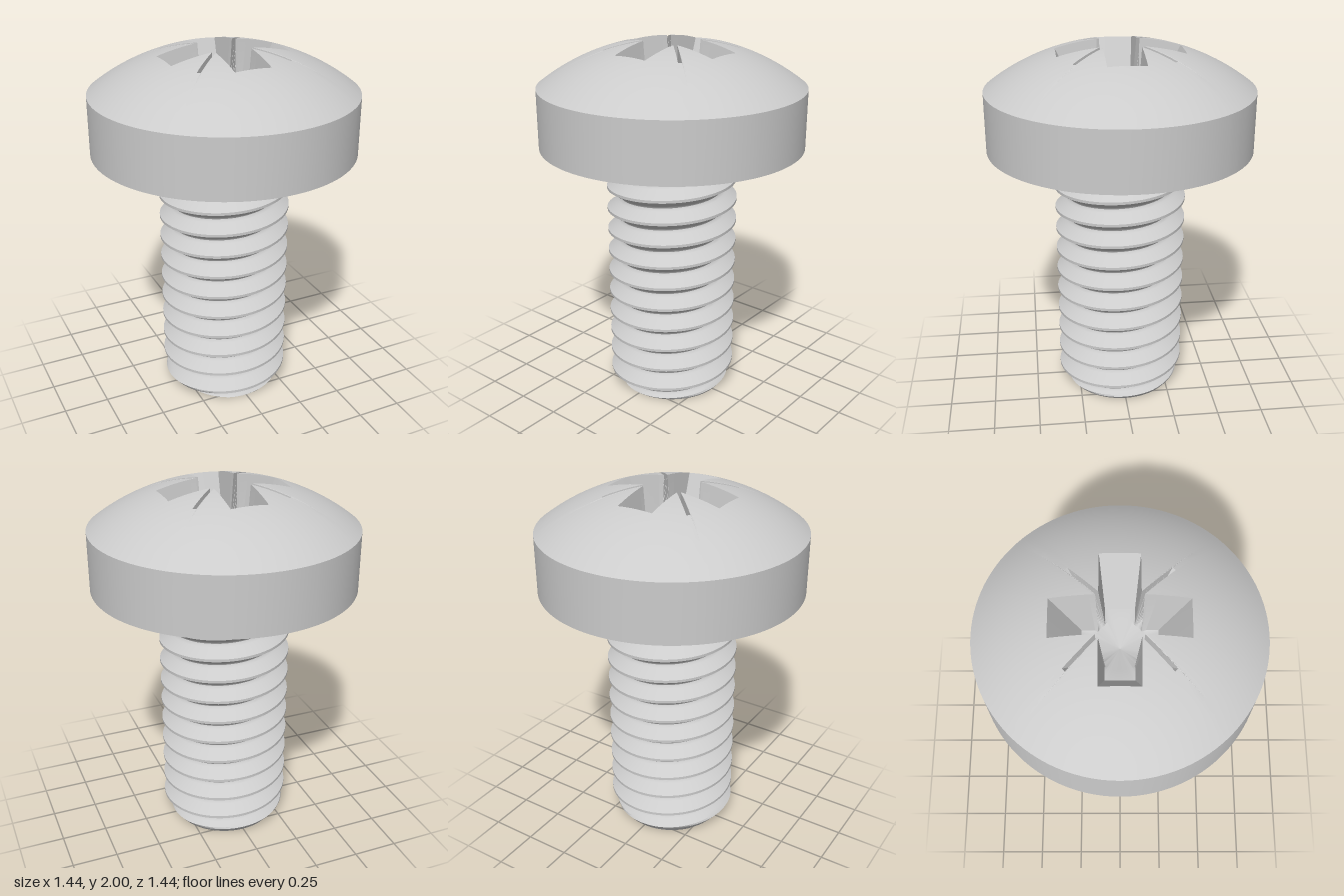
import * as THREE from 'three';
import { toCreasedNormals } from 'three/addons/utils/BufferGeometryUtils.js';

const grey = new THREE.MeshStandardMaterial({ color: 0xcccccc });
const { lerp, clamp, smoothstep } = THREE.MathUtils;

// Skin a stack of rings (equal point counts, last point closing on the first)
function loft(name, rings, crease = 0.55) {
  const pos = [];
  const tri = (a, b, c) => {
    const n = b.clone().sub(a).cross(c.clone().sub(a));
    if (n.length() > 1e-10) for (const p of [a, b, c]) pos.push(p.x, p.y, p.z);
  };
  for (let k = 0; k + 1 < rings.length; k++) {
    const a = rings[k], b = rings[k + 1];
    for (let i = 0; i + 1 < a.length; i++) {
      tri(a[i], b[i], a[i + 1]);
      tri(b[i], b[i + 1], a[i + 1]);
    }
  }
  const geo = new THREE.BufferGeometry();
  geo.setAttribute('position', new THREE.Float32BufferAttribute(pos, 3));
  const mesh = new THREE.Mesh(toCreasedNormals(geo, crease), grey);
  mesh.name = name;
  return mesh;
}

// Head
const HEAD_R = 0.718, HEAD_Y = 1.445, RIM_Y = 1.765, APEX = 2.01;
const SAG = APEX - RIM_Y, DOME_R = (HEAD_R ** 2 + SAG ** 2) / (2 * SAG);
const domeY = (r) => APEX - DOME_R + Math.sqrt(DOME_R ** 2 - r * r);

// Four-armed outline with diagonal slits: one quadrant turned four times
function outline(quadrant) {
  const steps = [10, 14, 5, 1, 5, 14];
  const corners = [];
  for (let q = 0; q < 4; q++) {
    for (const [x, z] of quadrant) {
      corners.push([[x, z], [-z, x], [-x, -z], [z, -x]][q]);
    }
  }
  const pts = [];
  corners.forEach((c, i) => {
    const d = corners[(i + 1) % corners.length], n = steps[i % 6];
    for (let s = 0; s < n; s++) pts.push([lerp(c[0], d[0], s / n), lerp(c[1], d[1], s / n)]);
  });
  pts.push(pts[0]);
  return pts;
}

function buildHead() {
  const FLOOR = 1.65, CORE_R = 0.13;
  const top = outline([[0.335, -0.1], [0.335, 0.1], [0.114, 0.1],
    [0.262, 0.248], [0.248, 0.262], [0.1, 0.114]]);
  const low = outline([[0.19, -0.075], [0.19, 0.075], [0.108, 0.075],
    [0.102, 0.094], [0.094, 0.102], [0.075, 0.108]]);
  const circle = (r, y) => top.map(([x, z]) => {
    const k = r / Math.hypot(x, z);
    return new THREE.Vector3(x * k, y, z * k);
  });

  // Flat underside, side wall and dome down to the recess edge
  const shell = [circle(0.3, HEAD_Y), circle(HEAD_R, HEAD_Y), circle(HEAD_R, RIM_Y)];
  const STEPS = 16;
  for (let s = 1; s <= STEPS; s++) {
    shell.push(top.map(([x, z]) => {
      const rho = Math.hypot(x, z), r = lerp(HEAD_R, rho, s / STEPS);
      return new THREE.Vector3(x * r / rho, domeY(r), z * r / rho);
    }));
  }

  // Tapered recess walls, arm floors and the conical centre
  const floor = low.map(([x, z]) => new THREE.Vector3(x, FLOOR, z));
  const core = low.map(([x, z]) => {
    const rho = Math.hypot(x, z), k = Math.min(1, CORE_R / rho);
    return new THREE.Vector3(x * k, FLOOR - 0.01, z * k);
  });
  const centre = low.map(() => new THREE.Vector3(0, FLOOR - 0.06, 0));

  const group = new THREE.Group();
  group.name = 'head';
  group.add(loft('domedHead', shell),
    loft('driveRecess', [shell[shell.length - 1], floor, core, centre]));
  return group;
}

// Threaded shank
const PITCH = 0.1257, CREST_R = 0.36, ROOT_R = 0.285, PHASE = 0.12;

// Thread radius by the distance from a crest, in pitches
function threadRadius(u) {
  const d = Math.abs(u - Math.round(u));
  if (d <= 0.06) return CREST_R;
  if (d <= 0.38) return lerp(CREST_R, ROOT_R + 0.012, (d - 0.06) / 0.32);
  const e = (0.5 - d) / 0.12;
  return ROOT_R + 0.012 * e * e;
}

function shankRadius(y, u) {
  const FILLET_Y = 1.395;
  const cap = lerp(CREST_R, 0.335, smoothstep(y, 1.385, 1.425));
  const base = y > FILLET_Y
    ? 0.385 - Math.sqrt(Math.max(0, 0.0025 - (y - FILLET_Y) ** 2))
    : lerp(0.27, 0.335, smoothstep(y, 1.33, FILLET_Y));
  const r = Math.max(base, Math.min(cap, threadRadius(u)));
  return Math.min(r, 0.303 + 0.8 * y); // chamfered tip
}

function buildShank() {
  const SEGS = 96;
  const marks = [-0.06, 0, 0.06, 0.14, 0.22, 0.3, 0.38, 0.44, 0.5, 0.56, 0.62, 0.7, 0.78, 0.86];
  const levels = [];
  for (let k = -1; k <= 12; k++) for (const m of marks) levels.push(k + m);

  const rings = levels.map((u) => {
    const ring = [];
    for (let i = 0; i <= SEGS; i++) {
      const a = (i / SEGS) * Math.PI * 2, lead = PHASE - PITCH * i / SEGS;
      const y = clamp(lead + PITCH * u, 0, HEAD_Y);
      const r = shankRadius(y, (y - lead) / PITCH);
      ring.push(new THREE.Vector3(r * Math.cos(a), y, r * Math.sin(a)));
    }
    return ring;
  });
  rings.unshift(rings[0].map(() => new THREE.Vector3())); // flat end
  return loft('threadedShank', rings, 0.6);
}

export function createModel() {
  const model = new THREE.Group();
  model.name = 'machineScrew';
  model.add(buildHead(), buildShank());
  return model;
}
